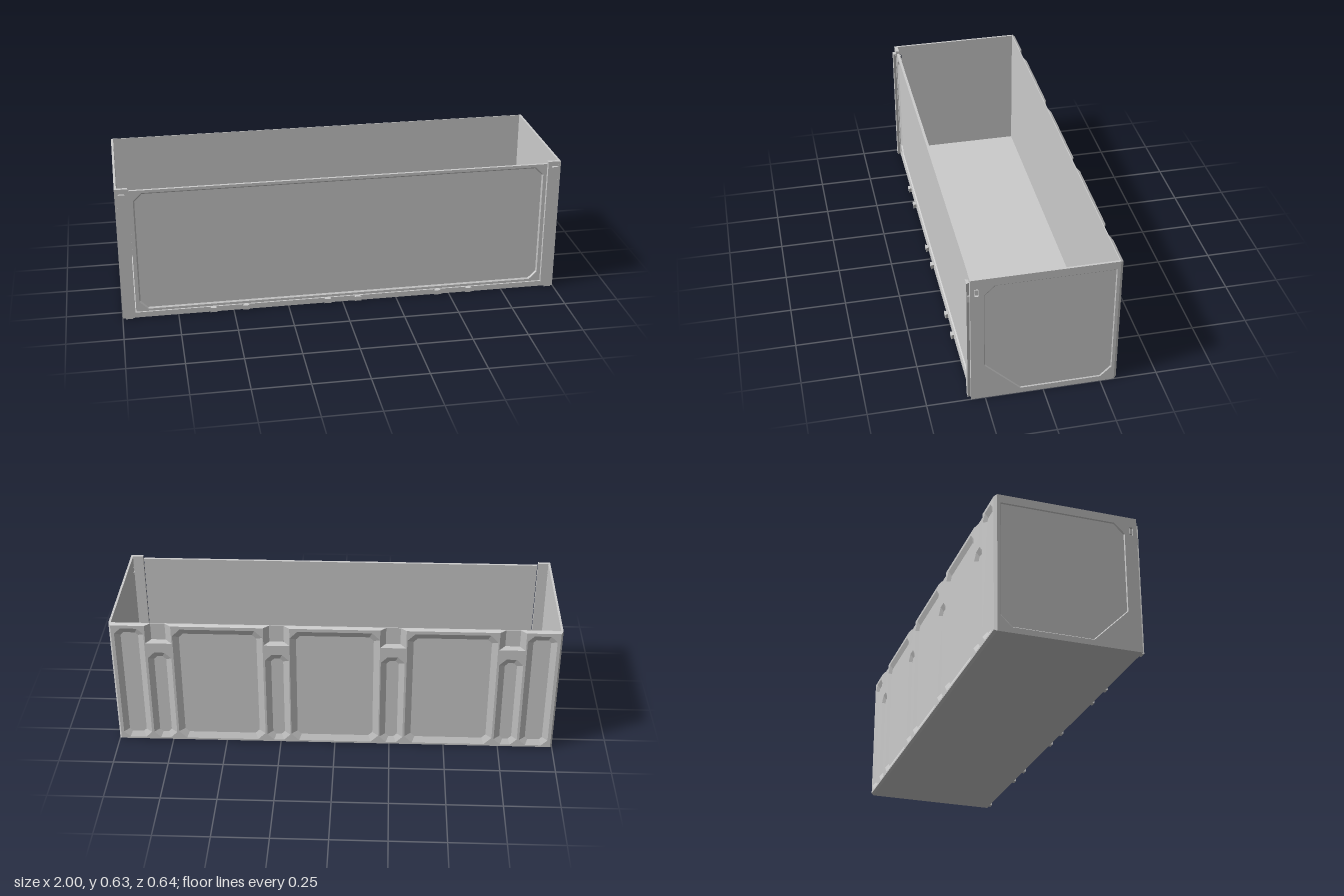
import * as THREE from 'three';

const H = 0.627, BACK = -0.323, INNER = -0.311, FRONT = 0.322;
const mat = new THREE.MeshStandardMaterial({ color: 0xcccccc, flatShading: true });

function part(parent, name, geometry, x = 0, y = 0, z = 0) {
  const m = new THREE.Mesh(geometry, mat);
  m.name = name;
  m.position.set(x, y, z);
  parent.add(m);
  return m;
}

// box given by its limits
function block(parent, name, x0, x1, y0, y1, z0, z1) {
  return part(parent, name, new THREE.BoxGeometry(x1 - x0, y1 - y0, z1 - z0),
    (x0 + x1) / 2, (y0 + y1) / 2, (z0 + z1) / 2);
}

const toPoints = (list) => list.map(([x, y]) => new THREE.Vector2(x, y));
const rect = (x0, x1, y0, y1) => toPoints([[x0, y0], [x1, y0], [x1, y1], [x0, y1]]);

// rectangle with cut corners
const cutRect = (x0, x1, y0, y1, c) => toPoints([
  [x0 + c, y0], [x1 - c, y0], [x1, y0 + c], [x1, y1 - c],
  [x1 - c, y1], [x0 + c, y1], [x0, y1 - c], [x0, y0 + c]]);

// wide and narrow outline of a recess whose sides slope in by run
const sloped = (x0, x1, y0, y1, c, run) => ({
  wide: cutRect(x0, x1, y0, y1, c),
  narrow: cutRect(x0 + run, x1 - run, y0 + run, y1 - run, c - 0.586 * run),
});

function slab(outline, holes, depth) {
  const s = new THREE.Shape(outline);
  holes.forEach((h) => s.holes.push(new THREE.Path(h)));
  return new THREE.ExtrudeGeometry(s, { depth, bevelEnabled: false });
}

// slab whose openings are wide on the face at faceZ and narrow on the other
function slopedSlab(outline, holes, depth, faceZ, cuts = []) {
  const key = (x, y) => `${x.toFixed(4)},${y.toFixed(4)}`;
  const moved = new Map();
  [...holes, ...cuts].forEach((h) => h.wide.forEach((w, i) => moved.set(key(w.x, w.y), h.narrow[i])));
  const g = slab(outline, holes.map((h) => h.wide), depth);
  const p = g.attributes.position;
  for (let i = 0; i < p.count; i++) {
    const to = moved.get(key(p.getX(i), p.getY(i)));
    if (to && Math.abs(p.getZ(i) - faceZ) > depth / 2) p.setXY(i, to.x, to.y);
  }
  g.computeVertexNormals();
  return g;
}

// dovetail rib standing on the front
function rib(parent, name, x, y, h, z) {
  const d = FRONT - z;
  const g = slab(toPoints([[-0.016, -d], [0.016, -d], [0.01, 0], [-0.01, 0]]), [], h);
  g.rotateX(-Math.PI / 2);
  part(parent, name, g, x, y, FRONT - d);
}

function buildEnd(side) {
  const g = new THREE.Group();
  g.name = side > 0 ? 'leftEnd' : 'rightEnd';
  // outlines run along -z, then turn to face sideways
  const outline = rect(-0.31, -INNER, 0, H);
  const wide = toPoints([[-0.254, 0.178], [-0.1, 0.025], [0.25, 0.025], [0.298, 0.072],
    [0.298, 0.59], [-0.208, 0.59], [-0.254, 0.545]]);
  const centre = new THREE.Vector2(0.022, 0.307);
  const panel = { wide, narrow: wide.map((p) => p.clone().lerp(centre, 0.014)) };
  const slot = cutRect(-0.293, -0.275, 0.544, 0.581, 0.003);
  const frame = slopedSlab(outline, [panel, { wide: slot, narrow: slot }], 0.004, side > 0 ? 0.004 : 0);
  const skin = part(g, 'endFrame', frame, side > 0 ? 0.996 : -1);
  const wall = part(g, 'endWall', slab(outline, [slot], 0.006), side > 0 ? 0.99 : -0.996);
  skin.rotation.y = wall.rotation.y = Math.PI / 2;
  // bar in the slot
  const x = side * 0.994;
  block(g, 'slotBar', x - 0.004, x + 0.004, 0.55, 0.575, 0.2775, 0.2905);
  return g;
}

function buildBack() {
  const g = new THREE.Group();
  g.name = 'back';
  const outline = [[-1, 0], [1, 0], [1, H]];
  const pockets = [], notches = [];
  // sloped notches in the top edge, a short pocket under each
  for (const x of [0.783, 0.258, -0.258, -0.783]) {
    const notch = (w, y) => [[x + w, H], [x + w, y], [x - w, y], [x - w, H]];
    outline.push(...notch(0.058, 0.53));
    notches.push({ wide: toPoints(notch(0.058, 0.53)), narrow: toPoints(notch(0.032, 0.545)) });
    pockets.push(sloped(x - 0.053, x + 0.053, 0.016, 0.482, 0.03, 0.026));
  }
  outline.push([-1, H]);
  // wide pockets, and narrow ones at the corners
  for (const x of [-0.52, 0, 0.52]) pockets.push(sloped(x - 0.2, x + 0.2, 0.016, 0.605, 0.035, 0.028));
  for (const x of [-0.912, 0.912]) pockets.push(sloped(x - 0.065, x + 0.065, 0.016, 0.605, 0.028, 0.026));

  // ribbed plate, its outer rim pulled in to a bevel
  const plate = slopedSlab(toPoints(outline), pockets, INNER - BACK, 0, notches);
  const p = plate.attributes.position;
  for (let i = 0; i < p.count; i++) {
    if (p.getZ(i) > 0.001) continue;
    if (Math.abs(p.getX(i)) > 0.999) p.setX(i, Math.sign(p.getX(i)) * 0.991);
    if (p.getY(i) > H - 0.001) p.setY(i, H - 0.007);
    if (p.getY(i) < 0.001) p.setY(i, 0.007);
  }
  plate.computeVertexNormals();
  part(g, 'backPlate', plate, 0, 0, BACK);
  // wall that closes the pockets and lines the inside
  block(g, 'backWall', -0.992, 0.992, 0.002, H, INNER, INNER + 0.004);
  return g;
}

function buildFront() {
  const g = new THREE.Group();
  g.name = 'front';
  // door with a sunk, sloped-edge panel
  const door = rect(-0.938, 0.938, 0.028, 0.616);
  const panel = sloped(-0.922, 0.922, 0.039, 0.603, 0.037, 0.006);
  part(g, 'doorFrame', slopedSlab(door, [panel], 0.006, 0.006), 0, 0, 0.3);
  part(g, 'doorPanel', slab(door, [], 0.006), 0, 0, 0.294);
  block(g, 'sill', -0.945, 0.945, 0, 0.025, 0.294, 0.308);
  // corner posts with tall ribs and a latch
  for (const s of [-1, 1]) {
    const x = s * 0.97;
    block(g, 'cornerPost', x - 0.028, x + 0.028, 0, H, 0.294, 0.3095);
    rib(g, 'postRib', x, 0.002, 0.603, 0.307);
    block(g, 'latch', x + s * 0.012 - 0.006, x + s * 0.012 + 0.006, 0.512, 0.543, 0.307, 0.319);
    // hinges along the sill
    for (const hx of [0.07, 0.445, 0.592]) rib(g, 'hinge', s * hx, 0.004, 0.021, 0.306);
  }
  return g;
}

export function createModel() {
  const model = new THREE.Group();
  model.name = 'openContainer';
  model.add(buildEnd(1), buildEnd(-1), buildBack(), buildFront());
  block(model, 'floor', -0.992, 0.992, 0, 0.012, INNER, 0.3);
  return model;
}
